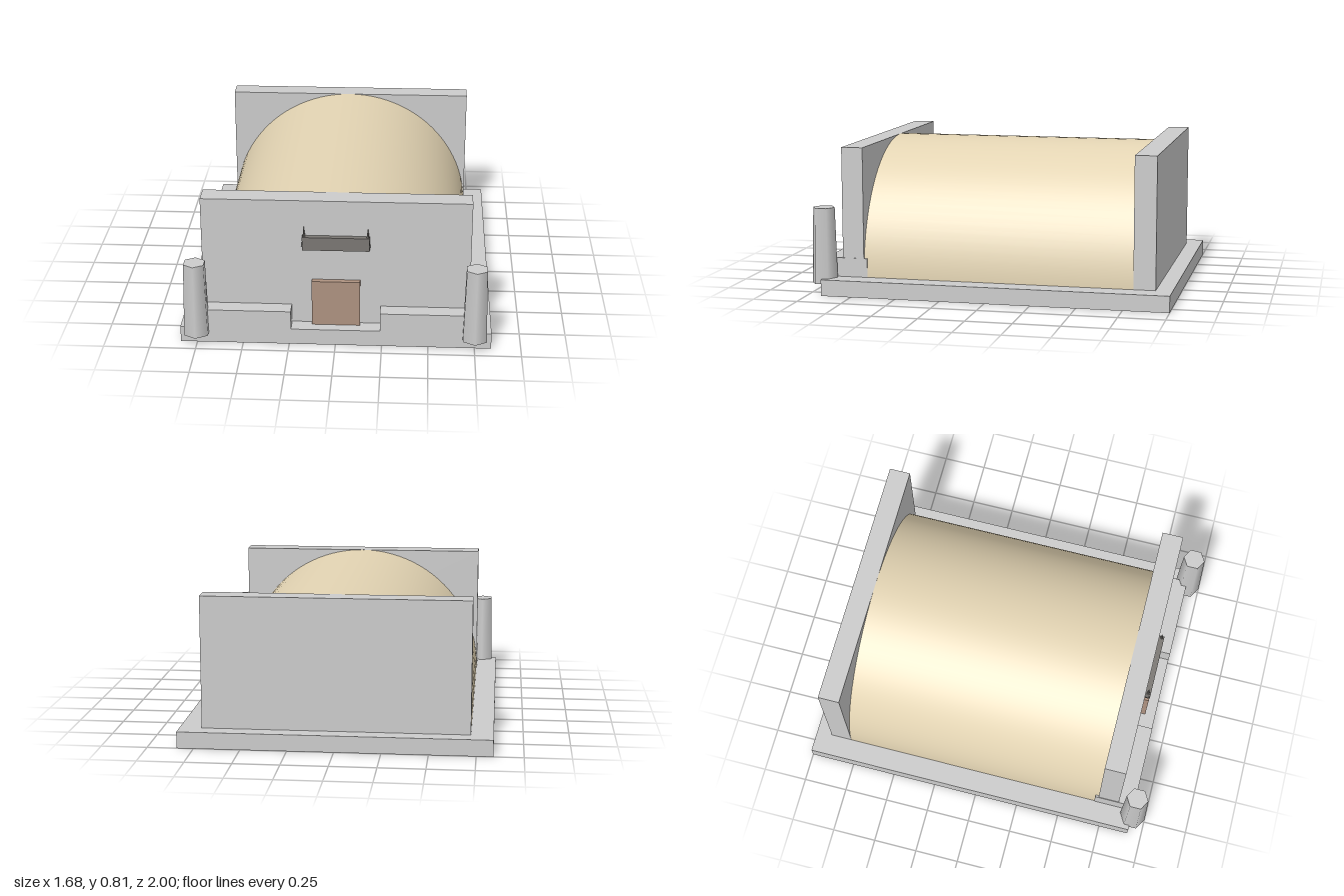
import * as THREE from 'three';

const mat = (color) => new THREE.MeshStandardMaterial({ color });

export function createModel() {
  const model = new THREE.Group();
  const grey = mat(0xcccccc);
  const tan = mat(0xe3d4b3);
  const brown = mat(0xae9280);
  const dark = mat(0x7a7773);

  const add = (name, geometry, material) => {
    const mesh = new THREE.Mesh(geometry, material);
    mesh.name = name;
    model.add(mesh);
    return mesh;
  };
  // Box given by its minimum and maximum on each axis
  const box = (name, [x0, x1], [y0, y1], [z0, z1], material = grey) => {
    const mesh = add(name, new THREE.BoxGeometry(x1 - x0, y1 - y0, z1 - z0), material);
    mesh.position.set((x0 + x1) / 2, (y0 + y1) / 2, (z0 + z1) / 2);
    return mesh;
  };

  // Floor slab and the two end walls
  box('baseSlab', [-0.84, 0.84], [0, 0.09], [-1, 0.92]);
  box('backWall', [-0.72, 0.72], [0.09, 0.81], [-0.91, -0.79]);
  box('frontWall', [-0.72, 0.72], [0.09, 0.81], [0.71, 0.83]);

  // Half-round barrel roof between the walls
  const roof = add('barrelRoof',
    new THREE.CylinderGeometry(0.72, 0.72, 1.5, 48, 1, true, Math.PI / 2, Math.PI), tan);
  roof.rotation.x = Math.PI / 2;
  roof.position.set(0, 0.09, -0.04);

  // Door and the canopy above it
  box('door', [-0.13, 0.13], [0.09, 0.35], [0.83, 0.86], brown);
  box('canopy', [-0.18, 0.18], [0.535, 0.61], [0.83, 0.86], dark);

  for (const side of [-1, 1]) {
    const label = side > 0 ? 'left' : 'right';

    // Low plinth beside the entrance
    const span = [0.24 * side, 0.723 * side].sort((a, b) => a - b);
    box(label + 'Plinth', span, [0.09, 0.195], [0.69, 0.92]);

    // Tapered six-sided corner post
    const post = add(label + 'Post', new THREE.CylinderGeometry(0.062, 0.074, 0.42, 6), grey);
    post.position.set(0.75 * side, 0.27, 0.925);

    // Spike on the canopy end
    const spike = add(label + 'Spike', new THREE.ConeGeometry(0.016, 0.115, 6), dark);
    spike.position.set(0.17 * side, 0.6125, 0.845);
  }
  return model;
}
